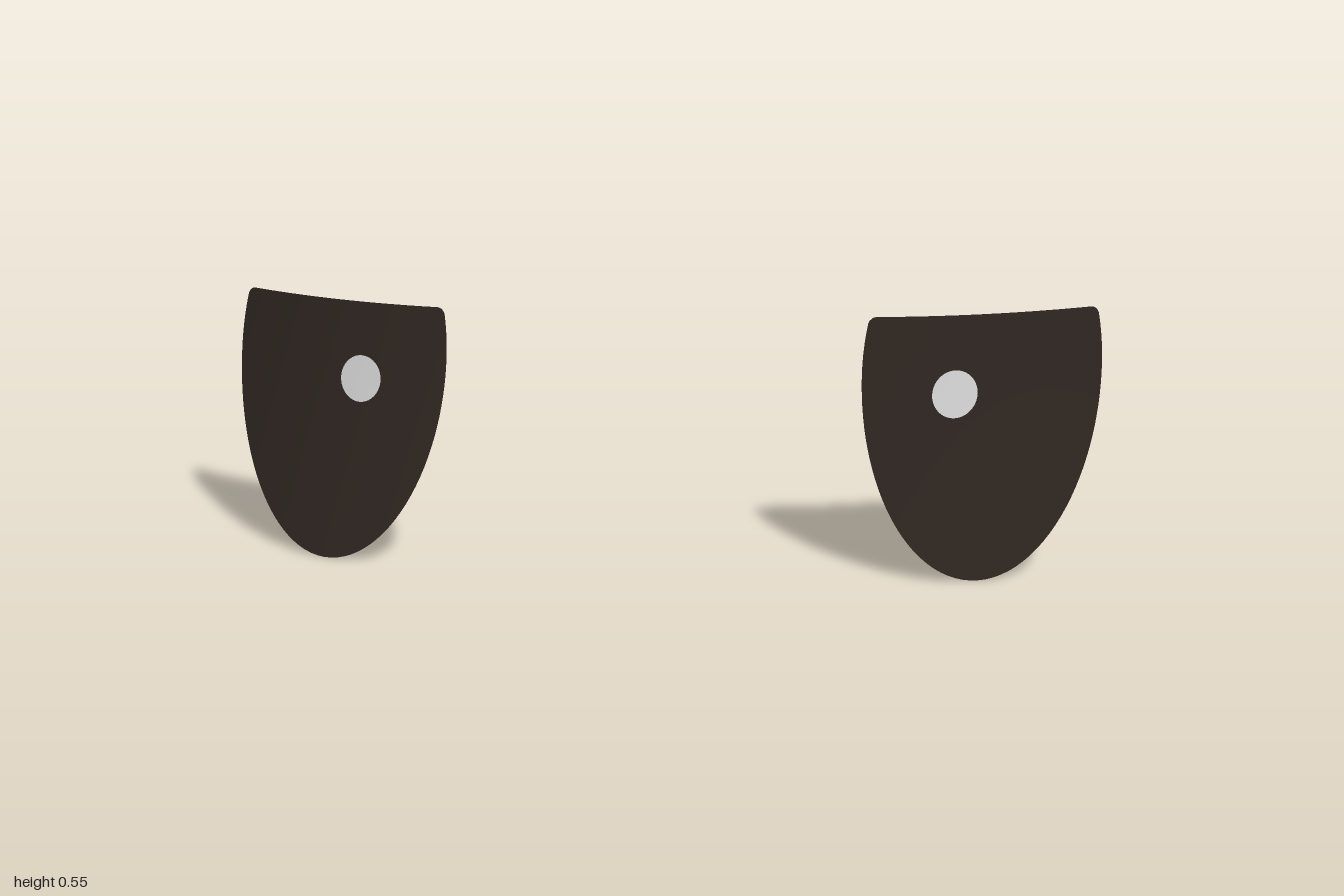
import * as THREE from 'three';

const CENTRE_X = 0.733;

// Half width of the eye at height y: round bottom, nearly straight sides, small top corners
function halfWidth(y) {
  if (y < 0.43) return 0.267 * Math.sqrt(Math.max(0, 1 - ((0.43 - y) / 0.43) ** 2));
  const corner = Math.min(1, Math.max(0, (y - 0.535) / 0.015));
  return 0.267 - 0.9 * (y - 0.43) ** 2 - 0.015 * (1 - Math.sqrt(1 - corner * corner));
}

// Depth of the curved eye surface; u runs outwards from the eye's middle
function depth(u, y) {
  const v = y - 0.3;
  return 0.035 - 0.385 * u - 0.4 * v - 0.49 * u * u + 0.1 * v * v;
}

// Move every vertex of a flat geometry by a rule (x, y) -> [x, y, z]
function reshape(geometry, rule) {
  const p = geometry.attributes.position;
  for (let i = 0; i < p.count; i++) p.setXYZ(i, ...rule(p.getX(i), p.getY(i)));
  geometry.computeVertexNormals();
  return geometry;
}

function createEye(side) {
  const eye = new THREE.Group();
  const shift = -0.004 * side;

  // Curved dark shell
  const shell = new THREE.Mesh(
    reshape(new THREE.PlaneGeometry(2, 1, 24, 40), (px, py) => {
      const y = 0.55 * (1 - Math.cos(Math.PI * (py + 0.5))) / 2;
      const dx = px * halfWidth(y);
      return [side * CENTRE_X + dx, y, depth(side * dx, y) + shift];
    }),
    new THREE.MeshStandardMaterial({ color: 0x2b231e, side: THREE.DoubleSide })
  );
  shell.name = 'eyeShell';

  // White highlight lying just in front of the shell
  const highlight = new THREE.Mesh(
    reshape(new THREE.CircleGeometry(0.05, 40), (px, py) => {
      const x = side * 0.671 + px;
      const y = 0.385 + py;
      return [x, y, depth(side * x - CENTRE_X, y) + shift + 0.004];
    }),
    new THREE.MeshStandardMaterial({ color: 0xffffff })
  );
  highlight.name = 'eyeHighlight';

  eye.add(shell, highlight);
  return eye;
}

export function createModel() {
  const model = new THREE.Group();
  model.name = 'eyes';
  for (const side of [1, -1]) {
    const eye = createEye(side);
    eye.name = side > 0 ? 'leftEye' : 'rightEye';
    model.add(eye);
  }
  return model;
}
